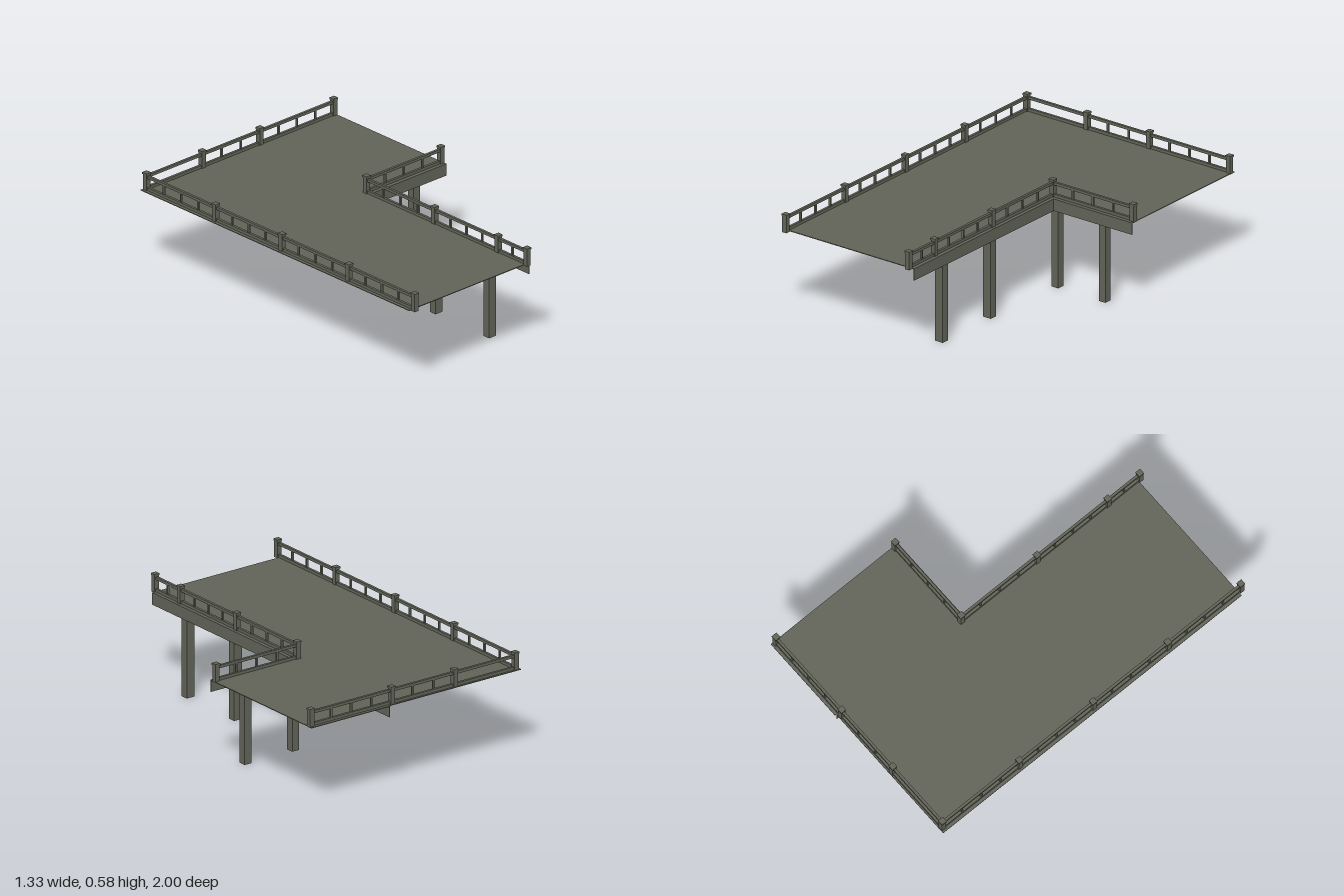
import * as THREE from 'three';

const wood = new THREE.MeshStandardMaterial({ color: 0x616357 });
wood.name = 'weathered wood';

const DECK_TOP = 0.485;

// Box given by its min and max corners
function box(parent, name, x0, x1, y0, y1, z0, z1) {
  const mesh = new THREE.Mesh(new THREE.BoxGeometry(x1 - x0, y1 - y0, z1 - z0), wood);
  mesh.position.set((x0 + x1) / 2, (y0 + y1) / 2, (z0 + z1) / 2);
  mesh.name = name;
  parent.add(mesh);
}

// Upright of square section, centred on x, z
function upright(parent, name, x, z, width, y0, y1) {
  const h = width / 2;
  box(parent, name, x - h, x + h, y0, y1, z - h, z + h);
}

function post(parent, x, z) {
  upright(parent, 'railPost', x, z, 0.026, 0.48, 0.572);
  upright(parent, 'postCap', x, z, 0.031, 0.57, 0.58);
}

// Straight railing: posts at the given stops, balusters per bay between them
function railing(name, axis, fixed, stops, balusters) {
  const g = new THREE.Group();
  g.name = name;
  const at = (t) => (axis === 'x' ? [t, fixed] : [fixed, t]);
  const a = stops[0], b = stops[stops.length - 1], w = 0.007;
  for (const [part, y0, y1] of [['topRail', 0.55, 0.565], ['bottomRail', 0.484, 0.501]]) {
    if (axis === 'x') box(g, part, a, b, y0, y1, fixed - w, fixed + w);
    else box(g, part, fixed - w, fixed + w, y0, y1, a, b);
  }
  stops.forEach((s, i) => {
    post(g, ...at(s));
    const n = balusters[i] || 0;
    for (let k = 1; k <= n; k++) {
      const t = s + ((stops[i + 1] - s) * k) / (n + 1);
      upright(g, 'baluster', ...at(t), 0.01, 0.5, 0.551);
    }
  });
  return g;
}

export function createModel() {
  const model = new THREE.Group();
  model.name = 'raisedDeck';

  // L-shaped floor, drawn in x and -z, then laid flat
  const outline = [[-0.665, 0.97], [0.165, 0.97], [0.165, -0.165], [0.663, -0.165],
    [0.663, -1], [0.165, -1], [0.165, -0.992], [-0.665, -0.992]];
  const shape = new THREE.Shape(outline.map(([x, z]) => new THREE.Vector2(x, -z)));
  const floor = new THREE.Mesh(
    new THREE.ExtrudeGeometry(shape, { depth: 0.004, bevelEnabled: false }), wood);
  floor.rotation.x = -Math.PI / 2;
  floor.position.y = DECK_TOP - 0.004;
  floor.name = 'floor';
  model.add(floor);

  // Thin fascia boards under the inner edges
  box(model, 'longFascia', 0.162, 0.165, 0.42, 0.482, -0.99, 0.97);
  box(model, 'wingFascia', 0.165, 0.663, 0.42, 0.482, -0.168, -0.165);

  // Support columns
  box(model, 'column', 0.111, 0.16, 0, 0.43, 0.69, 0.732);
  box(model, 'column', 0.111, 0.16, 0, 0.43, 0.299, 0.341);
  box(model, 'column', 0.144, 0.186, 0, 0.432, -0.216, -0.174);
  box(model, 'column', 0.445, 0.487, 0, 0.482, -0.216, -0.174);

  // Railings; the wing's outer end and the front stay open
  model.add(
    railing('leftRailing', 'z', -0.64, [-0.975, -0.47, 0.015, 0.505, 0.986], [3, 3, 3, 3]),
    railing('backRailing', 'x', -0.976, [-0.64, -0.256, 0.141, 0.65], [0, 2, 3]),
    railing('innerRailing', 'z', 0.138, [-0.193, 0.305, 0.77, 0.98], [3, 3, 1]),
    railing('wingRailing', 'x', -0.193, [0.138, 0.65], [3]),
  );
  return model;
}
